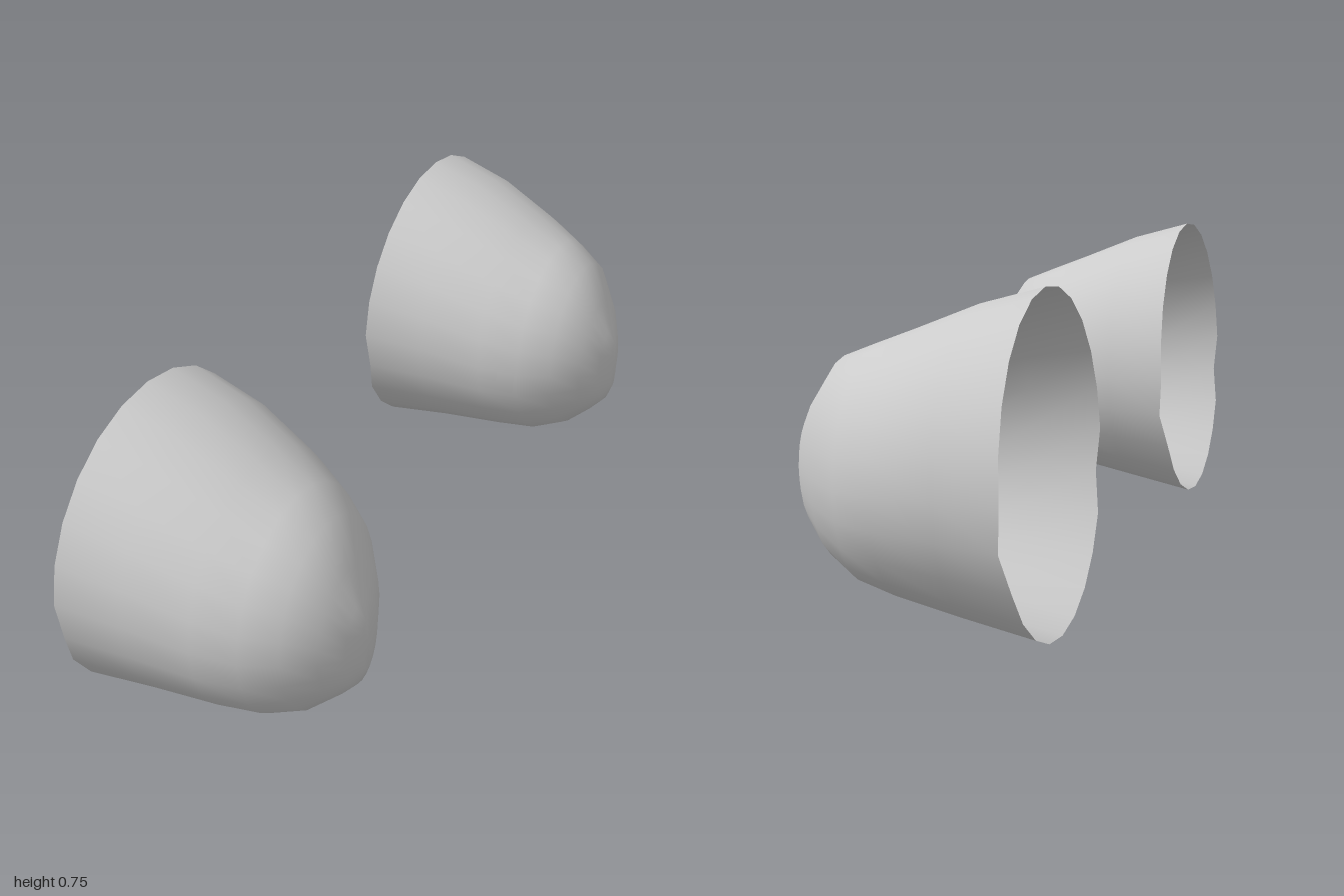
import * as THREE from 'three';

const SEGMENTS = 24;

// Cross-sections from the open rim to the nose: x, yMin, yMax, zMin, zMax
const SECTIONS = [
  [-0.308, 0.0, 0.737, 0.303, 1.0],
  [-0.155, 0.03, 0.695, 0.33, 0.993],
  [0.0, 0.056, 0.633, 0.385, 0.98],
  [0.1, 0.073, 0.592, 0.447, 0.957],
  [0.18, 0.113, 0.558, 0.52, 0.925],
  [0.24, 0.17, 0.475, 0.605, 0.875],
  [0.275, 0.208, 0.417, 0.68, 0.822],
  [0.292, 0.25, 0.385, 0.735, 0.775],
];

// Smooth open shell lofted through oval rings, closed at the nose
function cupGeometry() {
  const positions = [];
  const index = [];
  SECTIONS.forEach(([x, y0, y1, z0, z1], ring) => {
    // the rim is slightly tilted; the tilt fades out towards the nose
    const tilt = Math.max(0, 1 - ring / 2);
    for (let j = 0; j < SEGMENTS; j++) {
      const a = (j / SEGMENTS) * Math.PI * 2;
      const y = (y0 + y1) / 2 + (Math.sin(a) * (y1 - y0)) / 2;
      const z = (z0 + z1) / 2 + (Math.cos(a) * (z1 - z0)) / 2;
      // small notch low on either side of the rim
      const notch = ring === 0 && (j === 23 || j === 13) ? 0.011 : 0;
      positions.push(x + tilt * (0.054 * (y - 0.37) - 0.034 * (z - 0.65)) + notch, y, z);
    }
  });
  const tip = positions.length / 3;
  positions.push(0.294, 0.32, 0.756);

  const last = SECTIONS.length - 1;
  for (let i = 0; i <= last; i++) {
    for (let j = 0; j < SEGMENTS; j++) {
      const k = (j + 1) % SEGMENTS;
      const a = i * SEGMENTS + j;
      const b = i * SEGMENTS + k;
      if (i === last) index.push(a, tip, b);
      else index.push(a, a + SEGMENTS, b, b, a + SEGMENTS, b + SEGMENTS);
    }
  }
  const geometry = new THREE.BufferGeometry();
  geometry.setAttribute('position', new THREE.Float32BufferAttribute(positions, 3));
  geometry.setIndex(index);
  geometry.computeVertexNormals();
  return geometry;
}

export function createModel() {
  const model = new THREE.Group();
  model.name = 'cupPair';
  const material = new THREE.MeshStandardMaterial({ color: 0xcccccc, side: THREE.DoubleSide });
  const geometry = cupGeometry();

  // Two identical cups, the rear one shifted slightly
  const places = { frontCup: [0, 0, 0], rearCup: [0.037, 0.01, -1.302] };
  for (const [name, offset] of Object.entries(places)) {
    const cup = new THREE.Mesh(geometry, material);
    cup.name = name;
    cup.position.set(...offset);
    model.add(cup);
  }
  return model;
}
